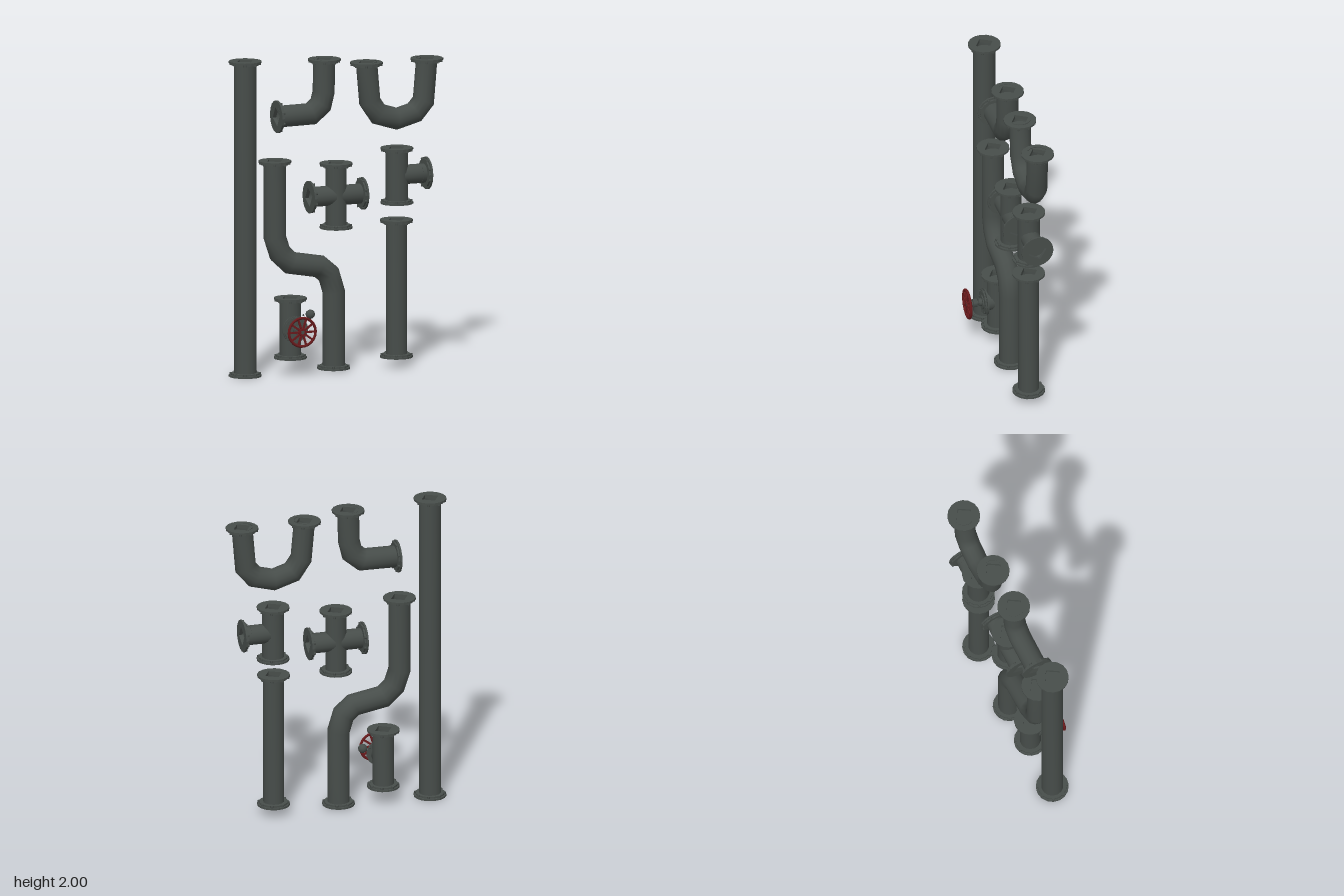
import * as THREE from 'three';

const Z = -0.05; // shared centre plane of all pipes
const iron = new THREE.MeshStandardMaterial({ color: 0x474d4a, side: THREE.DoubleSide });
iron.name = 'dark iron';
const red = new THREE.MeshStandardMaterial({ color: 0x6a1a1c });
red.name = 'dark red';

function add(parent, name, geometry, material = iron, x = 0, y = 0, z = 0) {
  const mesh = new THREE.Mesh(geometry, material);
  mesh.name = name;
  mesh.position.set(x, y, z);
  parent.add(mesh);
  return mesh;
}

function group(parent, name) {
  const g = new THREE.Group();
  g.name = name;
  parent.add(g);
  return g;
}

// Tube with mitred bends through points in the xy plane
function pipe(parent, name, points, r, sides = 14) {
  const pts = points.map(([x, y]) => new THREE.Vector2(x, y));
  const pos = [], idx = [];
  pts.forEach((p, i) => {
    const a = pts[Math.max(i - 1, 0)], b = pts[Math.min(i + 1, pts.length - 1)];
    const d0 = (i ? p.clone().sub(a) : b.clone().sub(p)).normalize();
    const d1 = (i < pts.length - 1 ? b.clone().sub(p) : p.clone().sub(a)).normalize();
    const t = d0.clone().add(d1).normalize();
    const stretch = r / t.dot(d1);
    for (let k = 0; k < sides; k++) {
      const u = (k / sides) * Math.PI * 2;
      pos.push(p.x + t.y * stretch * Math.cos(u), p.y - t.x * stretch * Math.cos(u), Z + r * Math.sin(u));
      if (i < pts.length - 1) {
        const k1 = (k + 1) % sides, q = i * sides, n = q + sides;
        idx.push(q + k, n + k1, q + k1, q + k, n + k, n + k1);
      }
    }
  });
  // Outward winding
  for (let i = 0; i < idx.length; i += 3) [idx[i + 1], idx[i + 2]] = [idx[i + 2], idx[i + 1]];
  const g = new THREE.BufferGeometry();
  g.setAttribute('position', new THREE.Float32BufferAttribute(pos, 3));
  g.setIndex(idx);
  g.computeVertexNormals();
  return add(parent, name, g);
}

function polygon(Type, r, n, turn = 0) {
  const s = new Type();
  for (let i = 0; i < n; i++) {
    const a = turn + (i / n) * Math.PI * 2;
    if (i) s.lineTo(r * Math.cos(a), r * Math.sin(a));
    else s.moveTo(r * Math.cos(a), r * Math.sin(a));
  }
  s.closePath();
  return s;
}

function plate(r, depth) {
  const s = polygon(THREE.Shape, r, 16);
  s.holes.push(polygon(THREE.Path, 0.06, 4, 0.25));
  return new THREE.ExtrudeGeometry(s, { depth, bevelEnabled: false });
}

// Bolted end flange: outer face at (x, y), facing along the angle
function flange(parent, x, y, angle, r = 0.103) {
  const g = group(parent, 'flange');
  g.position.set(x, y, Z);
  g.rotation.set(0, 0, angle - Math.PI / 2);
  const f = group(g, 'flangeRing');
  f.rotation.x = -Math.PI / 2;
  add(f, 'flangePlate', plate(r, 0.012), iron, 0, 0, -0.012);
  add(f, 'flangeCollar', plate(r * 0.88, 0.011), iron, 0, 0, -0.023);
  add(f, 'boreEnd', new THREE.CircleGeometry(0.064, 14), iron, 0, 0, -0.05);
  for (let i = 0; i < 8; i++) {
    const a = ((i + 0.5) / 8) * Math.PI * 2;
    const bolt = add(f, 'bolt', new THREE.CylinderGeometry(0.009, 0.009, 0.014, 6), iron,
      Math.cos(a) * r * 0.88, Math.sin(a) * r * 0.88, -0.018);
    bolt.rotation.x = Math.PI / 2;
  }
}

const UP = Math.PI / 2, DOWN = -Math.PI / 2, LEFT = 0, RIGHT = Math.PI;

// Pipe run with a flange at both ends
function run(parent, name, points, r) {
  const g = group(parent, name);
  pipe(g, 'pipeBody', points, r);
  const n = points.length;
  [[0, 1], [n - 1, n - 2]].forEach(([e, i]) => {
    const dx = points[e][0] - points[i][0], dy = points[e][1] - points[i][1];
    const angle = Math.abs(dx) > Math.abs(dy) ? (dx > 0 ? LEFT : RIGHT) : dy > 0 ? UP : DOWN;
    flange(g, points[e][0], points[e][1], angle);
  });
  return g;
}

function valve(parent) {
  const g = run(parent, 'valve', [[-0.31, 0.095], [-0.31, 0.48]], 0.067);
  const a = group(g, 'valveAssembly');
  a.position.set(-0.31, 0.29, 0);
  // Bonnet and stem: [name, radius, z start, z end, sides]
  [['bonnetNeck', 0.06, -0.05, 0.03, 14], ['bonnetPlate', 0.085, 0.026, 0.034, 14],
    ['bonnetCover', 0.08, 0.04, 0.048, 14], ['bonnetCore', 0.045, 0.03, 0.055, 12],
    ['gland', 0.025, 0.05, 0.075, 10], ['stem', 0.013, 0.05, 0.155, 8],
    ['glandNut', 0.03, 0.086, 0.112, 6], ['stemCollar', 0.02, 0.115, 0.13, 8],
  ].forEach(([name, r, z0, z1, n]) => {
    add(a, name, new THREE.CylinderGeometry(r, r, z1 - z0, n), iron, 0, 0, (z0 + z1) / 2).rotation.x = Math.PI / 2;
  });
  // Bolts joining the bonnet plates
  for (let i = 0; i < 8; i++) {
    const t = (i / 8) * Math.PI * 2;
    add(a, 'bonnetBolt', new THREE.CylinderGeometry(0.006, 0.006, 0.03, 6), iron,
      Math.cos(t) * 0.07, Math.sin(t) * 0.07, 0.038).rotation.x = Math.PI / 2;
  }
  // Hand wheel
  const w = group(a, 'handWheel');
  w.position.z = 0.146;
  add(w, 'wheelRim', new THREE.TorusGeometry(0.09, 0.009, 6, 22), red);
  add(w, 'wheelHub', new THREE.CylinderGeometry(0.024, 0.028, 0.018, 10), red).rotation.x = Math.PI / 2;
  for (let i = 0; i < 10; i++) {
    const t = (i / 10) * Math.PI * 2;
    const spoke = add(w, 'wheelSpoke', new THREE.BoxGeometry(0.072, 0.012, 0.01), red,
      Math.cos(t) * 0.053, Math.sin(t) * 0.053, 0);
    spoke.rotation.z = t;
  }
}

export function createModel() {
  const model = new THREE.Group();
  model.name = 'pipeSet';

  // Straight runs
  run(model, 'longPipe', [[-0.615, 0], [-0.615, 1], [-0.615, 2]], 0.07);
  run(model, 'shortPipe', [[0.407, 0.055], [0.407, 0.93]], 0.066);

  // Bent runs
  run(model, 'elbow', [[-0.405, 1.632], [-0.17, 1.636], [-0.105, 1.69], [-0.085, 1.77], [-0.08, 1.98]], 0.069);
  run(model, 'uBend', [[0.205, 1.94], [0.227, 1.69], [0.285, 1.605], [0.408, 1.567],
    [0.53, 1.6], [0.59, 1.67], [0.613, 1.94]], 0.067);
  run(model, 'offsetBend', [[-0.415, 1.355], [-0.415, 0.87], [-0.38, 0.765], [-0.31, 0.7],
    [-0.115, 0.665], [-0.05, 0.61], [-0.017, 0.5], [-0.017, 0.01]], 0.07);

  // Four-way junction
  const cross = run(model, 'crossJunction', [[0, 0.9], [0, 1.315]], 0.066);
  pipe(cross, 'crossArm', [[-0.185, 1.108], [0.183, 1.108]], 0.064);
  flange(cross, -0.185, 1.108, RIGHT);
  flange(cross, 0.183, 1.108, LEFT);

  // Three-way junction
  const tee = run(model, 'teeJunction', [[0.41, 1.03], [0.41, 1.385]], 0.07);
  pipe(tee, 'teeArm', [[0.41, 1.21], [0.615, 1.21]], 0.062);
  flange(tee, 0.615, 1.21, LEFT);

  valve(model);

  // Loose nut beside the valve
  add(model, 'looseNut', new THREE.IcosahedronGeometry(0.03, 1), iron, -0.175, 0.365, Z);
  add(model, 'nutPin', new THREE.SphereGeometry(0.007, 6, 4), iron, -0.222, 0.362, Z);
  return model;
}
